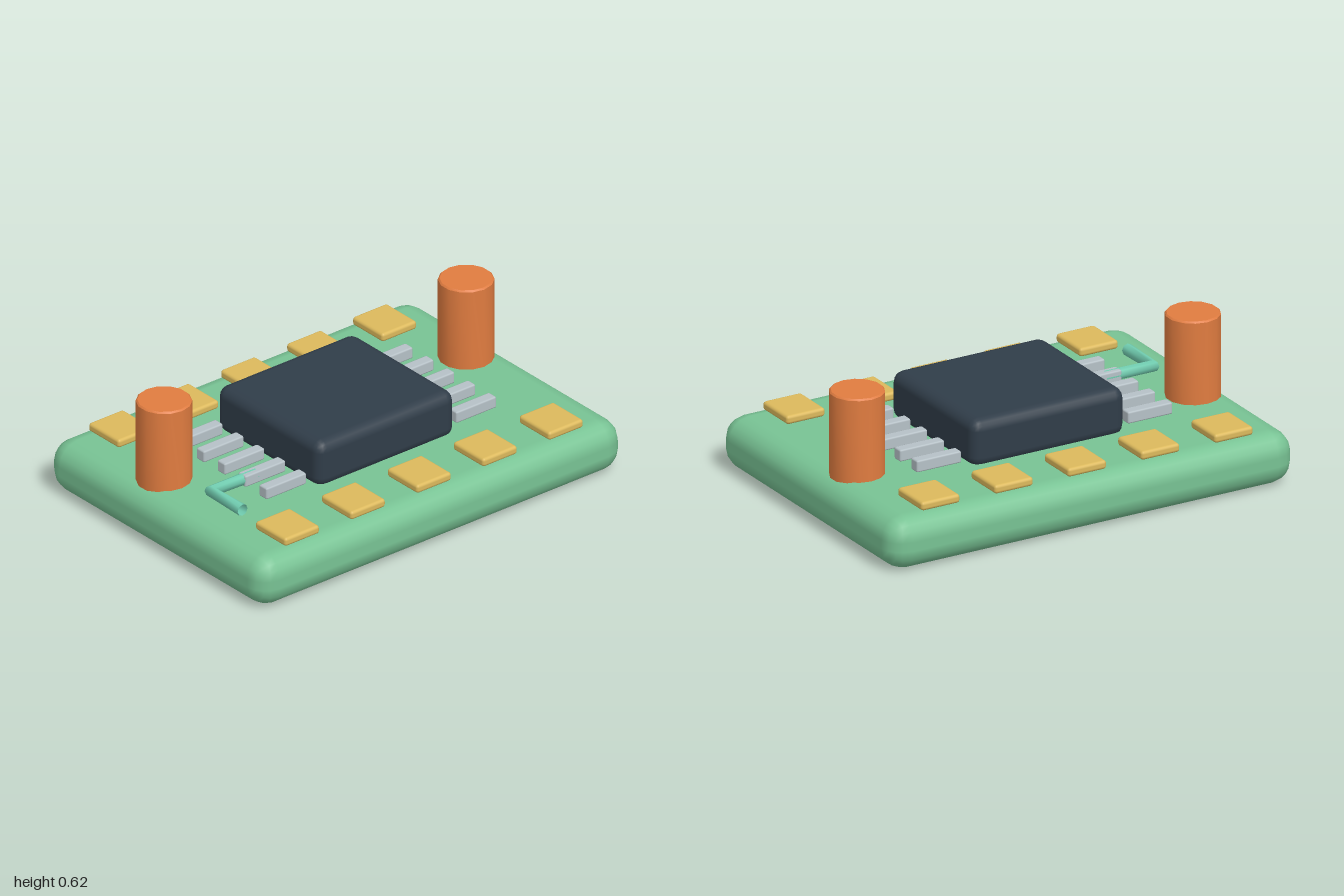
import * as THREE from 'three';
import { RoundedBoxGeometry } from 'three/addons/geometries/RoundedBoxGeometry.js';
import { toCreasedNormals } from 'three/addons/utils/BufferGeometryUtils.js';

const material = (name, color, side = THREE.FrontSide) => {
  const m = new THREE.MeshStandardMaterial({ color, side });
  m.name = name;
  return m;
};

// Two straight legs meeting at a mitred corner
class BentLine extends THREE.Curve {
  constructor(a, b, c) {
    super();
    this.points = [a, b, c];
  }
  getPoint(t, target = new THREE.Vector3()) {
    const [a, b, c] = this.points;
    return t < 0.5 ? target.lerpVectors(a, b, t * 2) : target.lerpVectors(b, c, t * 2 - 1);
  }
  getUtoTmapping(u) {
    return u;
  }
}

export function createModel() {
  const model = new THREE.Group();
  model.name = 'circuitBoard';

  const green = material('boardGreen', 0x78c394);
  const dark = material('chipDark', 0x303d49);
  const gold = material('padGold', 0xdcb95c);
  const silver = material('pinSilver', 0xb6c1c7);
  const copper = material('postCopper', 0xe07c40);
  const teal = material('wireTeal', 0x72cfb2, THREE.DoubleSide);

  const add = (name, geometry, mat, x, y, z) => {
    const mesh = new THREE.Mesh(geometry, mat);
    mesh.name = name;
    mesh.position.set(x, y, z);
    model.add(mesh);
  };

  // Board and central chip
  add('board', new RoundedBoxGeometry(2, 0.24, 1.445, 2, 0.1), green, 0, 0.12, 0);
  add('chip', new RoundedBoxGeometry(0.755, 0.22, 0.69, 2, 0.05), dark, 0, 0.33, 0);

  // Contact pads along the front and back edges, pins on both sides of the chip
  const padGeometry = new RoundedBoxGeometry(0.19, 0.04, 0.204, 2, 0.014);
  const pinGeometry = new RoundedBoxGeometry(0.22, 0.054, 0.052, 1, 0.008);
  for (const side of [-1, 1]) {
    for (let i = -2; i <= 2; i++) {
      add('pad', padGeometry, gold, i * 0.361, 0.26, side * 0.553);
      add('pin', pinGeometry, silver, side * 0.52, 0.278, i * 0.1385);
    }
  }

  // Round posts with a narrow bevel at the top
  const profile = [[0, 0], [0.12, 0], [0.12, 0.453], [0.113, 0.46], [0, 0.46]]
    .map(([r, y]) => new THREE.Vector2(r, y));
  const postGeometry = toCreasedNormals(new THREE.LatheGeometry(profile, 14), 0.6);
  for (const side of [-1, 1]) add('post', postGeometry, copper, side * 0.827, 0.16, -0.139);

  // Open-ended bent wire reaching one of the pins
  const path = new BentLine(
    new THREE.Vector3(-0.796, 0.28, 0.345),
    new THREE.Vector3(-0.796, 0.28, 0.134),
    new THREE.Vector3(-0.555, 0.28, 0.138));
  add('wire', new THREE.TubeGeometry(path, 2, 0.027, 8, false), teal, 0, 0, 0);

  return model;
}
